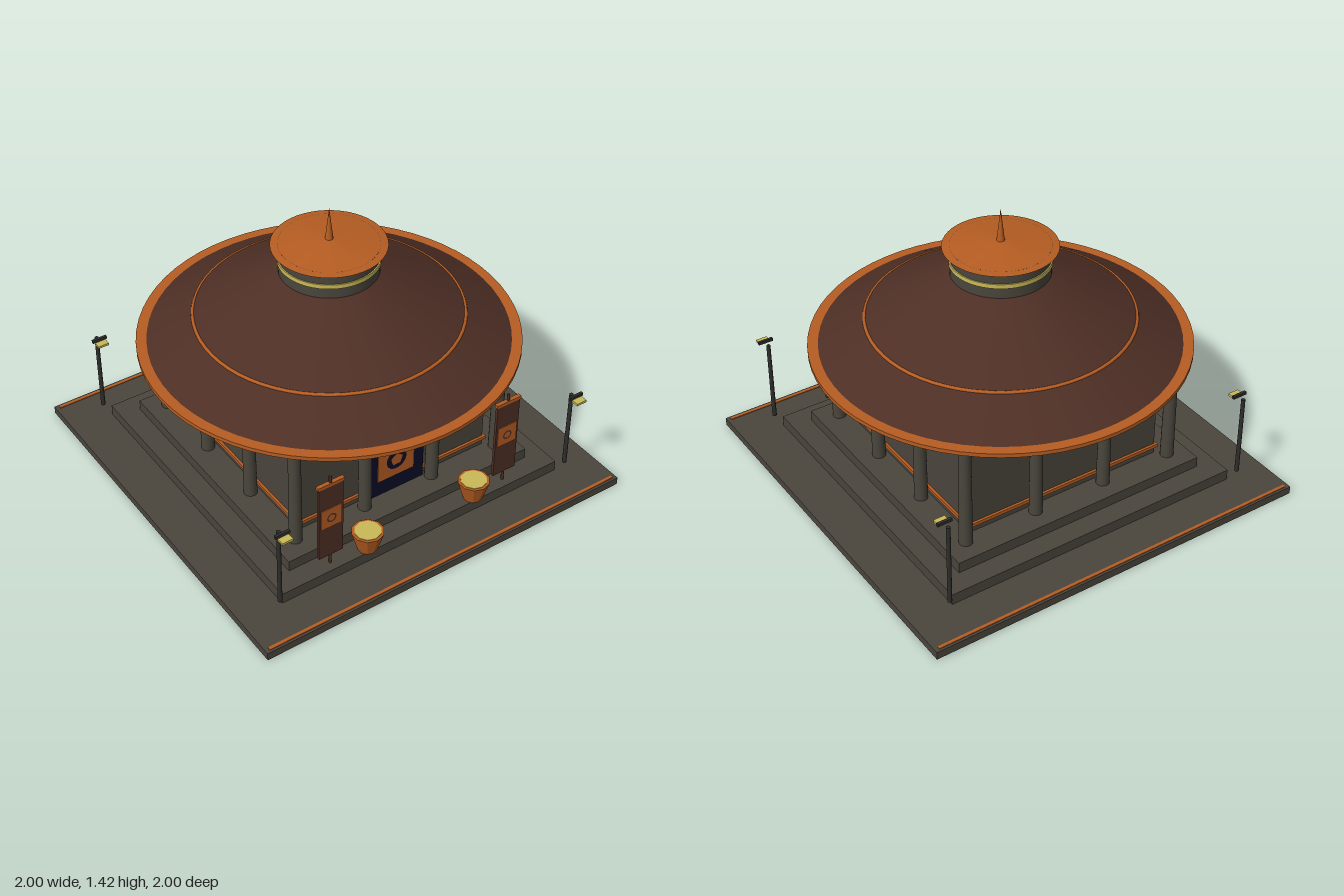
import * as THREE from 'three';

const mat = (name, color, side = THREE.FrontSide) => {
  const m = new THREE.MeshStandardMaterial({ color, side });
  m.name = name;
  return m;
};

export function createModel() {
  const stone = mat('stone', 0x4a463d);
  const brown = mat('roofBrown', 0x4e2f25);
  const orange = mat('orange', 0xb65d22);
  const gold = mat('gold', 0xcbb957);
  const navy = mat('navy', 0x0b0b29);
  const iron = mat('iron', 0x2e2e2b);

  const model = new THREE.Group();
  model.name = 'pavilion';

  const add = (name, geo, material, x = 0, y = 0, z = 0, parent = model) => {
    const mesh = new THREE.Mesh(geo, material);
    mesh.name = name;
    mesh.position.set(x, y, z);
    parent.add(mesh);
    return mesh;
  };
  // Box and round part given by their bottom and top heights
  const box = (name, m, w, d, y0, y1, x = 0, z = 0, parent = model) =>
    add(name, new THREE.BoxGeometry(w, y1 - y0, d), m, x, (y0 + y1) / 2, z, parent);
  const round = (name, m, r0, r1, y0, y1, x = 0, z = 0, seg = 16, parent = model) =>
    add(name, new THREE.CylinderGeometry(r1, r0, y1 - y0, seg), m, x, (y0 + y1) / 2, z, parent);
  const group = (name, x, z) => {
    const g = new THREE.Group();
    g.name = name;
    g.position.set(x, 0, z);
    model.add(g);
    return g;
  };

  // Stepped base
  box('courtyard', stone, 2, 2, 0, 0.04);
  box('lowerStep', stone, 1.57, 1.57, 0.04, 0.095);
  box('upperStep', stone, 1.36, 1.36, 0.095, 0.15);
  for (const s of [1, -1]) box('courtyardStripe', orange, 1.96, 0.016, 0.038, 0.044, 0, s * 0.98);

  // Hall walls and trims
  box('hall', stone, 1.06, 1.06, 0.15, 0.67);
  box('lowerTrim', orange, 1.085, 1.085, 0.185, 0.203);
  box('upperTrim', orange, 1.085, 1.085, 0.656, 0.678);

  // Columns around the perimeter
  const spots = [-0.575, -0.192, 0.192, 0.575];
  for (const x of spots) for (const z of spots) {
    if (Math.abs(x) < 0.5 && Math.abs(z) < 0.5) continue;
    const column = group('column', x, z);
    round('shaft', stone, 0.033, 0.029, 0.15, 0.695, 0, 0, 16, column);
    round('capital', orange, 0.044, 0.052, 0.69, 0.715, 0, 0, 16, column);
  }

  // Door with a square panel and a simple round ornament
  box('door', navy, 0.32, 0.03, 0.15, 0.567, 0, 0.534);
  box('lintel', orange, 0.33, 0.04, 0.565, 0.59, 0, 0.532);
  box('doorPanel', orange, 0.205, 0.006, 0.235, 0.44, 0, 0.551);
  add('ornamentDisc', new THREE.CircleGeometry(0.056, 32), navy, 0, 0.335, 0.556);
  add('ornamentCentre', new THREE.CircleGeometry(0.035, 5), orange, 0, 0.335, 0.558)
    .rotation.z = Math.PI / 2;

  // Main roof: orange eave rim, two brown slopes and a ring between them
  round('eave', orange, 0.905, 0.905, 0.716, 0.736, 0, 0, 64);
  round('roofSoffit', brown, 0.89, 0.89, 0.713, 0.718, 0, 0, 64);
  round('lowerRoof', brown, 0.857, 0.636, 0.735, 0.865, 0, 0, 64);
  round('upperRoof', brown, 0.636, 0.235, 0.865, 1.092, 0, 0, 64);
  const ring = add('roofRing', new THREE.TorusGeometry(0.634, 0.009, 8, 64), orange, 0, 0.862, 0);
  ring.rotation.x = Math.PI / 2;

  // Lantern drum, cap and spire
  round('drum', stone, 0.235, 0.235, 1.08, 1.232, 0, 0, 48);
  round('drumBand', gold, 0.241, 0.241, 1.146, 1.168, 0, 0, 48);
  add('cap', new THREE.ConeGeometry(0.27, 0.03, 48), orange, 0, 1.243, 0);
  add('spire', new THREE.ConeGeometry(0.02, 0.172, 12), orange, 0, 1.334, 0);

  // Banners and pots either side of the entrance
  for (const s of [1, -1]) {
    const banner = group('banner', s * 0.495, 0.737);
    round('pole', brown, 0.007, 0.007, 0.095, 0.618, 0, 0, 8, banner);
    box('cloth', brown, 0.13, 0.015, 0.15, 0.575, 0, 0, banner);
    box('bannerBar', orange, 0.14, 0.02, 0.565, 0.582, 0, 0, banner);
    for (const f of [1, -1])
      box('bannerPatch', orange, 0.11, 0.005, 0.325, 0.437, 0, f * 0.009, banner);
    add('bannerRing', new THREE.RingGeometry(0.017, 0.025, 24), brown, 0, 0.38, 0.0125, banner);

    const pot = group('pot', s * 0.303, 0.757);
    const bowl = new THREE.CylinderGeometry(0.077, 0.046, 0.105, 10).toNonIndexed();
    bowl.computeVertexNormals();
    add('bowl', bowl, orange, 0, 0.1475, 0, pot);
    round('potFilling', gold, 0.064, 0.064, 0.196, 0.203, 0, 0, 10, pot);
  }

  // Four lamp posts, heads all pointing to the front
  for (const x of [0.815, -0.815]) for (const z of [0.815, -0.815]) {
    const lamp = group('lampPost', x, z);
    round('post', iron, 0.011, 0.01, 0.1, 0.522, 0, 0, 10, lamp);
    box('lampHood', iron, 0.075, 0.014, 0.522, 0.537, 0, 0.03, lamp);
    box('lampLight', gold, 0.056, 0.036, 0.511, 0.523, 0, 0.056, lamp);
  }

  return model;
}
